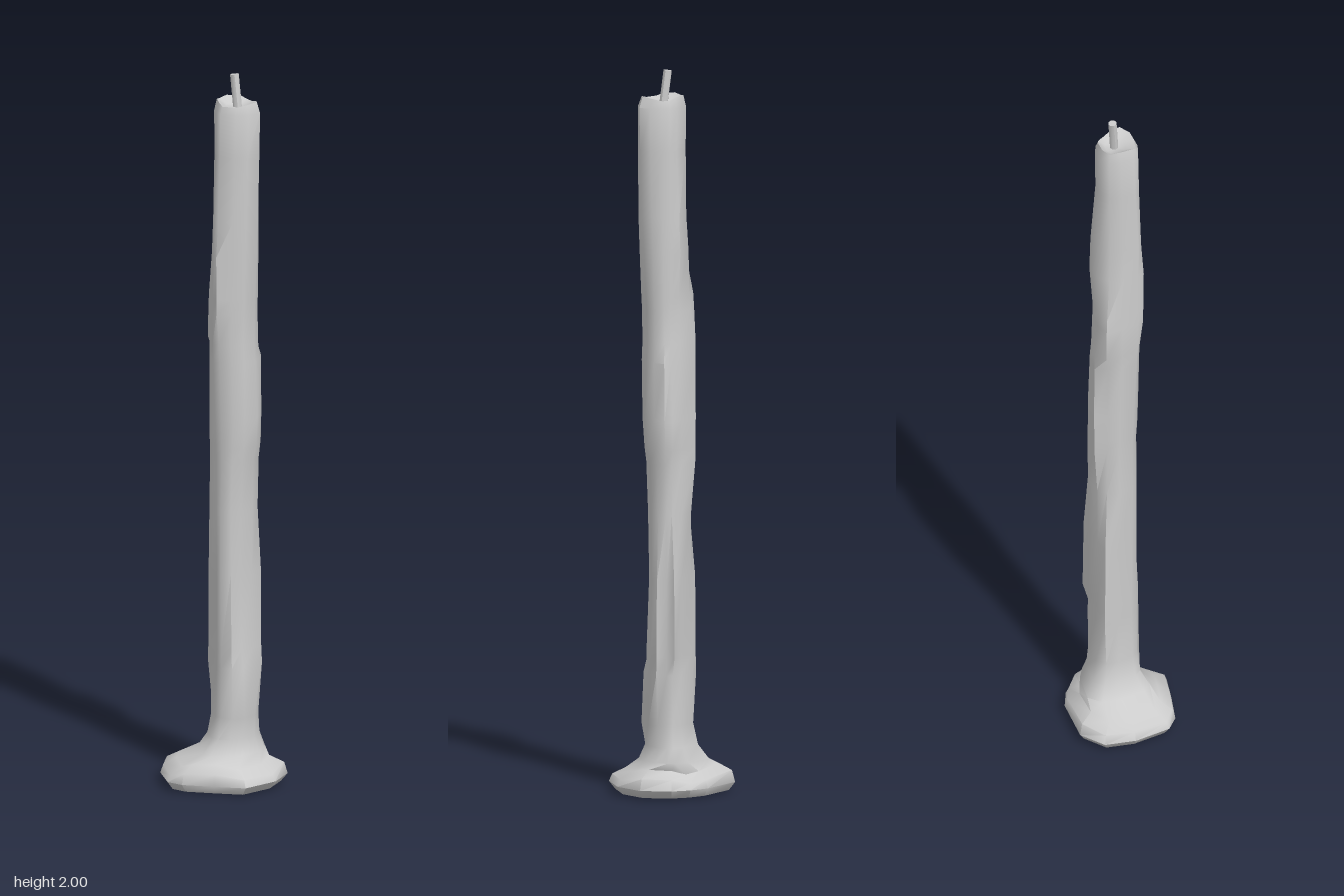
import * as THREE from 'three';
import { toCreasedNormals } from 'three/addons/utils/BufferGeometryUtils.js';

// Outline of the wax puddle, [x, z], running from the back round by +x
const OUTLINE = [
  [-0.03, -0.175], [0.05, -0.16], [0.14, -0.055], [0.16, 0], [0.163, 0.055], [0.13, 0.135],
  [0.04, 0.172], [-0.07, 0.163], [-0.115, 0.09], [-0.16, 0.01], [-0.163, -0.04], [-0.1, -0.125],
];
const N = OUTLINE.length;
const AXIS = [0.033, 0.035];

// Puddle rings: [y, scale of the outline]
const PUDDLE = [[0.005, 0], [0.008, 0.9], [0.03, 1], [0.055, 0.95], [0.075, 0.73]];

// Column rings: [y, xMin, xMax, zMin, zMax]
const COLUMN = [
  [0.1, -0.07, 0.125, -0.085, 0.1],
  [0.14, -0.042, 0.11, -0.055, 0.085],
  [0.2, -0.032, 0.105, -0.042, 0.087],
  [0.34, -0.03, 0.105, -0.042, 0.082],
  [0.39, -0.03, 0.102, -0.04, 0.08],
  [0.6, -0.032, 0.1, -0.04, 0.077],
  [0.78, -0.034, 0.1, -0.04, 0.08],
  [0.92, -0.032, 0.1, -0.038, 0.085],
  [0.96, -0.034, 0.1, -0.038, 0.09],
  [1.04, -0.036, 0.1, -0.038, 0.095],
  [1.2, -0.042, 0.096, -0.036, 0.095],
  [1.25, -0.045, 0.092, -0.036, 0.092],
  [1.34, -0.045, 0.09, -0.033, 0.093],
  [1.38, -0.045, 0.09, -0.03, 0.095],
  [1.5, -0.045, 0.09, -0.028, 0.1],
  [1.6, -0.046, 0.088, -0.022, 0.104],
  [1.78, -0.038, 0.084, -0.022, 0.108],
  [1.9, -0.035, 0.084, -0.024, 0.11],
  [1.925, -0.026, 0.076, -0.017, 0.1],
];

// Wax runs: [side, bottom y, top y, thickness]
const RUNS = [
  [0, 1.23, 1.4, 0.024], [0, 0.33, 0.62, 0.015], [3, 0.36, 0.62, 0.02], [3, 0.95, 1.1, 0.01],
  [4, 0.95, 1.22, 0.012], [5, 0.3, 0.65, 0.012], [9, 1.32, 1.52, 0.01], [6, 0.95, 1.1, 0.006],
  [8, 0.18, 0.4, 0.012], [1, 0.9, 1.26, 0.012], [2, 1.48, 1.7, 0.01], [7, 0.18, 0.35, 0.01],
];

function columnRing([y, x0, x1, z0, z1]) {
  return OUTLINE.map(([ox, oz], j) => {
    const len = Math.hypot(ox, oz), dx = ox / len, dz = oz / len;
    const rx = dx > 0 ? x1 - AXIS[0] : AXIS[0] - x0;
    const rz = dz > 0 ? z1 - AXIS[1] : AXIS[1] - z0;
    const ripple = 1 + 0.04 * Math.sin(j * 2.1 + y * 4);
    let bump = 0;
    for (const [side, low, high, t] of RUNS) if (side === j && y >= low && y <= high) bump += t;
    return [AXIS[0] + dx * (rx * ripple + bump), y, AXIS[1] + dz * (rz * ripple + bump)];
  });
}

// Skins a stack of closed rings, bottom to top
function loft(rings) {
  const index = [];
  for (let i = 0; i < rings.length - 1; i++) {
    for (let j = 0; j < N; j++) {
      const a = i * N + j, b = i * N + (j + 1) % N, c = a + N, d = b + N;
      index.push(a, c, b, b, c, d);
    }
  }
  const geometry = new THREE.BufferGeometry();
  geometry.setAttribute('position', new THREE.Float32BufferAttribute(rings.flat(2), 3));
  geometry.setIndex(index);
  return toCreasedNormals(geometry, 0.95);
}

export function createModel() {
  const group = new THREE.Group();
  group.name = 'candle';
  const material = new THREE.MeshStandardMaterial({ color: 0xcccccc });

  // Wax: puddle, dripping column, uneven rim and the hollow around the wick
  const rings = PUDDLE.map(([y, s]) => OUTLINE.map(([x, z], j) =>
    [x * s, y + (y > 0.05 ? 0.008 * Math.sin(j * 1.7) : 0), z * s]));
  rings.push(...COLUMN.map(columnRing));
  const rim = rings[rings.length - 1];
  rim.forEach((p, j) => { p[1] += 0.006 * Math.sin(j * 1.3); });
  for (const [s, y] of [[0.55, 1.912], [0, 1.908]]) {
    rings.push(rim.map(([x, , z]) => [AXIS[0] + (x - AXIS[0]) * s, y, AXIS[1] + (z - AXIS[1]) * s]));
  }
  const wax = new THREE.Mesh(loft(rings), material);
  wax.name = 'wax';
  group.add(wax);

  // Wick, leaning slightly back
  const wickGeometry = toCreasedNormals(new THREE.CylinderGeometry(0.012, 0.012, 0.11, 8), 0.9);
  const wick = new THREE.Mesh(wickGeometry, material);
  wick.name = 'wick';
  wick.position.set(0.033, 1.944, 0.034);
  wick.rotation.x = -0.13;
  group.add(wick);

  return group;
}
